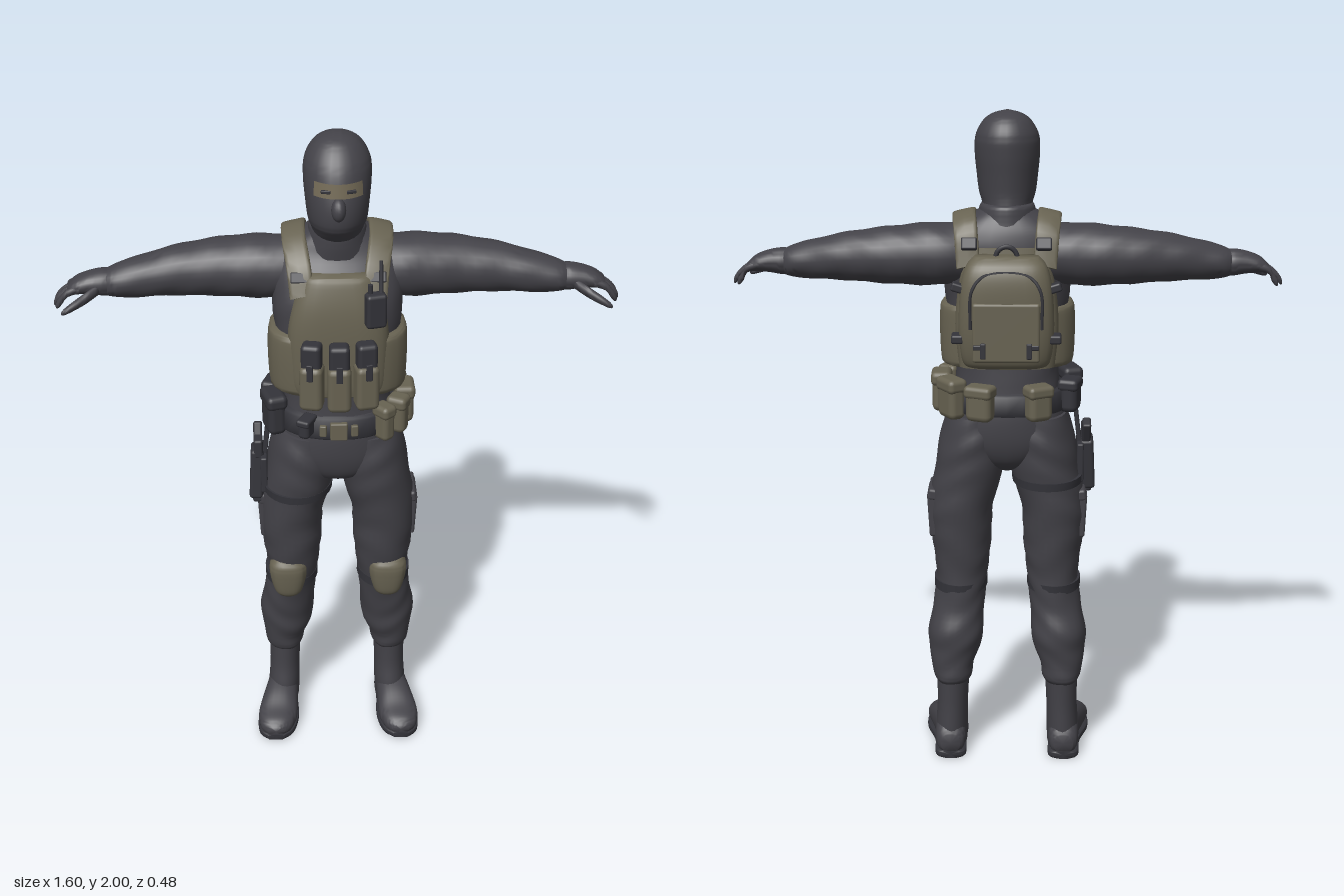
import * as THREE from 'three';
import { mergeVertices, toCreasedNormals } from 'three/addons/utils/BufferGeometryUtils.js';
import { RoundedBoxGeometry } from 'three/addons/geometries/RoundedBoxGeometry.js';

const V = (x, y, z) => new THREE.Vector3(x, y, z);
const AXES = { // ring directions u, v for each loft direction
  x: [V(0, 0, 1), V(0, 1, 0)], y: [V(1, 0, 0), V(0, 0, 1)], z: [V(0, 1, 0), V(1, 0, 0)],
};

// Skin a list of rings {c, u, v} with superellipse outlines and closed ends
function skin(rings, { n = 28, p = 2, fold = 0, freq = 55 } = {}) {
  const pos = [], idx = [], pw = (a) => Math.sign(a) * Math.abs(a) ** (2 / p);
  rings.forEach(({ c, u, v }) => {
    for (let j = 0; j < n; j++) {
      const t = (j / n) * Math.PI * 2;
      const k = 1 + fold * Math.sin((c.x + c.y) * freq + 2.5 * Math.sin(t * 2 + c.y * 9));
      const q = c.clone().addScaledVector(u, pw(Math.cos(t)) * k).addScaledVector(v, pw(Math.sin(t)) * k);
      pos.push(q.x, q.y, q.z);
    }
  });
  const last = rings.length - 1;
  for (let i = 0; i < last; i++) for (let j = 0; j < n; j++) {
    const a = i * n + j, b = i * n + (j + 1) % n;
    idx.push(a, a + n, b, b, a + n, b + n);
  }
  const e = pos.length / 3;
  pos.push(...rings[0].c.toArray(), ...rings[last].c.toArray());
  for (let j = 0; j < n; j++) {
    const k = (j + 1) % n;
    idx.push(e, j, k, e + 1, last * n + k, last * n + j);
  }
  const g = new THREE.BufferGeometry();
  g.setAttribute('position', new THREE.Float32BufferAttribute(pos, 3));
  g.setIndex(idx);
  return toCreasedNormals(g, 1);
}

// Smooth loft through sections [x, y, z, ru, rv]
function loft(axis, secs, opt = {}) {
  const [U, W] = AXES[axis], steps = opt.steps || 5, rings = [];
  const at = (i) => secs[Math.min(Math.max(i, 0), secs.length - 1)];
  for (let s = 0; s <= (secs.length - 1) * steps; s++) {
    const i = Math.floor(s / steps), f = s / steps - i;
    const m = at(i).map((b, k) => {
      const a = at(i - 1)[k], c = at(i + 1)[k], d = at(i + 2)[k];
      return b + 0.5 * f * (c - a + f * (2 * a - 5 * b + 4 * c - d + f * (3 * (b - c) + d - a)));
    });
    rings.push({ c: V(m[0], m[1], m[2]), u: U.clone().multiplyScalar(Math.max(m[3], 0.001)), v: W.clone().multiplyScalar(Math.max(m[4], 0.001)) });
  }
  return skin(rings, opt);
}
// Vertical loft from [y, cz, rx, rz] with a fixed x
const body = (rows, opt, x = 0) => loft('y', rows.map(([y, z, a, b]) => [x, y, z, a, b]), opt);

// Flat webbing swept along a path
function ribbon(pts, side, w, t) {
  const curve = new THREE.CatmullRomCurve3(pts.map((q) => V(...q))), rings = [];
  for (let i = 0; i <= 24; i++) {
    const d = curve.getTangent(i / 24), v = side.clone().cross(d).normalize();
    rings.push({ c: curve.getPoint(i / 24), u: side.clone().multiplyScalar(w / 2), v: v.multiplyScalar(t / 2) });
  }
  return skin(rings, { n: 16, p: 5 });
}
const box = (w, h, d, x, y, z, ry = 0, rx = 0, rz = 0, r = 0.25) =>
  new RoundedBoxGeometry(w, h, d, 2, Math.min(w, h, d) * r).rotateX(rx).rotateZ(rz).rotateY(ry).translate(x, y, z);

function flipX(geo) {
  const g = mergeVertices(geo.clone()).scale(-1, 1, 1), a = g.index.array;
  for (let i = 0; i < a.length; i += 3) [a[i], a[i + 1]] = [a[i + 1], a[i]];
  return g;
}

export function createModel() {
  const root = new THREE.Group();
  root.name = 'soldier';
  const mat = (name, color, side = THREE.FrontSide) => Object.assign(new THREE.MeshStandardMaterial({ color, side }), { name });
  const cloth = mat('darkCloth', 0x434248), olive = mat('oliveGear', 0x686352), black = mat('blackGear', 0x34343a);
  const skinTone = mat('eyeOpening', 0x756c58, THREE.DoubleSide);
  const add = (name, m, geo) => {
    const mesh = new THREE.Mesh(geo, m);
    mesh.name = name;
    root.add(mesh);
  };
  const pair = (name, m, geo) => {
    add('left' + name, m, geo);
    add('right' + name, m, flipX(geo));
  };

  // Head, mask and collar
  add('head', cloth, body([[1.64, -0.02, 0.075, 0.085], [1.7, -0.012, 0.068, 0.085], [1.74, 0.008, 0.073, 0.1], [1.77, 0.02, 0.082, 0.11],
    [1.82, 0.02, 0.088, 0.114], [1.88, 0.01, 0.093, 0.11], [1.93, 0, 0.09, 0.1], [1.97, -0.005, 0.069, 0.074], [1.99, -0.005, 0.042, 0.045], [2, -0.005, 0.006, 0.006]]));
  add('nose', cloth, new THREE.SphereGeometry(1, 16, 12).scale(0.02, 0.032, 0.024).rotateX(-0.3).translate(0, 1.83, 0.132));
  add('eyeOpening', skinTone, new THREE.CylinderGeometry(0.094, 0.097, 0.04, 20, 1, true, -0.75, 1.5).scale(1, 1, 1.23).translate(0, 1.88, 0.013));
  pair('Eye', black, box(0.026, 0.009, 0.008, 0.034, 1.878, 0.124, 0.25));
  add('collar', cloth, body([[1.66, -0.02, 0.1, 0.1], [1.7, -0.014, 0.086, 0.1], [1.735, -0.012, 0.078, 0.098], [1.742, -0.01, 0.066, 0.088]]));

  // Torso and hips
  add('torso', cloth, body([[1.16, 0.01, 0.16, 0.135], [1.27, 0.01, 0.152, 0.125], [1.4, 0.015, 0.175, 0.13], [1.52, 0.01, 0.185, 0.135],
    [1.6, -0.01, 0.185, 0.125], [1.66, -0.025, 0.17, 0.1], [1.7, -0.025, 0.12, 0.085], [1.73, -0.02, 0.07, 0.07]], { p: 2.3, fold: 0.006 }));
  add('hips', cloth, body([[0.945, 0, 0.03, 0.06], [0.98, 0.01, 0.12, 0.115], [1.04, 0.01, 0.18, 0.14], [1.12, 0.01, 0.175, 0.145], [1.2, 0.01, 0.16, 0.135]], { p: 2.2 }));

  // Arms and gloves
  pair('Arm', cloth, loft('x', [[0.1, 1.6, -0.03, 0.085, 0.08], [0.2, 1.597, -0.035, 0.094, 0.09], [0.33, 1.594, -0.04, 0.086, 0.083], [0.46, 1.588, -0.03, 0.073, 0.07],
    [0.56, 1.577, -0.015, 0.063, 0.057], [0.62, 1.57, -0.008, 0.053, 0.047], [0.645, 1.567, -0.005, 0.042, 0.039]], { fold: 0.018, freq: 60 }));
  pair('Glove', cloth, loft('x', [[0.62, 1.567, -0.005, 0.036, 0.034], [0.65, 1.568, -0.004, 0.044, 0.039], [0.69, 1.568, -0.002, 0.043, 0.033],
    [0.73, 1.562, 0, 0.042, 0.024], [0.755, 1.55, 0, 0.034, 0.015]]));
  for (let i = 0; i < 4; i++) {
    const z = -0.031 + i * 0.021, e = i === 0 ? -0.015 : i === 3 ? -0.008 : 0;
    pair('Finger' + (i + 1), cloth, loft('x', [[0.72, 1.562, z, 0.011, 0.012], [0.755, 1.55, z, 0.011, 0.012], [0.78 + e, 1.53, z, 0.01, 0.014],
      [0.793 + e, 1.515, z, 0.007, 0.012], [0.798 + e, 1.51, z, 0.002, 0.004]], { n: 10, steps: 3 }));
  }
  pair('Thumb', cloth, loft('x', [[0.665, 1.56, 0.025, 0.016, 0.016], [0.7, 1.545, 0.055, 0.016, 0.016], [0.735, 1.53, 0.076, 0.014, 0.013],
    [0.76, 1.518, 0.087, 0.008, 0.009], [0.768, 1.514, 0.089, 0.002, 0.002]], { n: 12, steps: 3 }));

  // Trousers
  pair('Trouser', cloth, loft('y', [[0.17, 0.25, -0.04, 0.05, 0.065], [0.17, 0.27, -0.04, 0.061, 0.077], [0.17, 0.31, -0.036, 0.067, 0.08], [0.163, 0.36, -0.03, 0.079, 0.088],
    [0.16, 0.42, -0.03, 0.085, 0.094], [0.15, 0.5, -0.012, 0.079, 0.093], [0.14, 0.6, 0, 0.079, 0.1], [0.14, 0.7, 0.005, 0.09, 0.114], [0.14, 0.82, 0.005, 0.097, 0.124],
    [0.113, 0.95, 0.01, 0.105, 0.136], [0.1, 1.05, 0.01, 0.1, 0.14], [0.09, 1.12, 0.01, 0.09, 0.13]], { fold: 0.016, freq: 62, p: 2.1 }));
  pair('CargoPocket', cloth, box(0.03, 0.14, 0.12, 0.224, 0.8, 0, 0, 0, -0.05));
  pair('PocketFlap', cloth, box(0.034, 0.035, 0.125, 0.222, 0.865, 0, 0, 0, 0.12));

  // Boots
  pair('BootShaft', cloth, loft('y', [[0.178, 0.03, -0.035, 0.05, 0.072], [0.175, 0.1, -0.03, 0.05, 0.077], [0.172, 0.18, -0.037, 0.048, 0.069], [0.17, 0.28, -0.04, 0.052, 0.07]]));
  pair('BootFoot', cloth, loft('z', [[0.178, 0.05, -0.112, 0.03, 0.03], [0.178, 0.058, -0.09, 0.05, 0.046], [0.18, 0.068, -0.02, 0.06, 0.05], [0.19, 0.06, 0.05, 0.052, 0.058],
    [0.198, 0.045, 0.11, 0.038, 0.063], [0.202, 0.038, 0.155, 0.03, 0.05], [0.203, 0.034, 0.178, 0.018, 0.025]], { p: 2.4 }));
  pair('BootSole', black, loft('z', [[0.178, 0.012, -0.115, 0.012, 0.025], [0.178, 0.012, -0.095, 0.012, 0.048], [0.182, 0.012, -0.01, 0.012, 0.05], [0.195, 0.012, 0.08, 0.012, 0.066],
    [0.202, 0.012, 0.15, 0.012, 0.055], [0.204, 0.014, 0.182, 0.01, 0.025]], { p: 5 }));

  // Knee pads and their straps
  pair('KneePad', olive, body([[0.525, 0.068, 0.025, 0.03], [0.545, 0.072, 0.043, 0.042], [0.6, 0.075, 0.056, 0.047], [0.64, 0.077, 0.057, 0.045], [0.662, 0.076, 0.044, 0.035]], { p: 2.6 }, 0.154));
  pair('KneeStrap', black, body([[0.555, 0, 0.082, 0.101], [0.585, 0, 0.082, 0.103]], { steps: 1 }, 0.144));

  // Plate carrier
  add('cummerbund', olive, body([[1.27, 0.025, 0.19, 0.128], [1.285, 0.025, 0.197, 0.133], [1.37, 0.026, 0.2, 0.136], [1.435, 0.025, 0.197, 0.136], [1.45, 0.024, 0.188, 0.13]], { p: 2.6 }));
  add('chestPlate', olive, body([[1.275, 0.1, 0.13, 0.06], [1.32, 0.1, 0.14, 0.066], [1.45, 0.1, 0.142, 0.069], [1.54, 0.096, 0.128, 0.066], [1.615, 0.085, 0.102, 0.058], [1.63, 0.08, 0.092, 0.05]], { p: 3 }));
  add('backPlate', olive, body([[1.275, -0.07, 0.14, 0.055], [1.4, -0.075, 0.15, 0.062], [1.54, -0.08, 0.135, 0.064], [1.63, -0.085, 0.11, 0.05]], { p: 3 }));
  pair('ShoulderStrap', olive, ribbon([[0.1, 1.575, 0.13], [0.108, 1.645, 0.095], [0.12, 1.7, 0.025], [0.122, 1.712, -0.05], [0.116, 1.68, -0.115], [0.108, 1.58, -0.145]],
    V(0.97, -0.22, 0).normalize(), 0.068, 0.022));
  pair('StrapBuckle', black, box(0.05, 0.03, 0.016, 0.106, 1.625, 0.112, 0, -0.5));

  // Magazine pouches fanned across the front
  for (const i of [-1, 0, 1]) {
    const x = i * 0.076, z = 0.198 - Math.abs(i) * 0.012, a = i * 0.2;
    add('magazinePouch', olive, box(0.066, 0.135, 0.064, x, 1.328, z, a));
    add('magazine', black, box(0.057, 0.09, 0.05, x, 1.415, z - 0.004, a));
    add('pouchTab', black, box(0.018, 0.05, 0.007, x + Math.sin(a) * 0.033, 1.385, z + 0.033, a));
  }

  // Radio
  add('radio', black, box(0.058, 0.1, 0.04, 0.1, 1.55, 0.162, 0.25));
  add('radioKnob', black, new THREE.CylinderGeometry(0.007, 0.007, 0.03, 12).translate(0.085, 1.61, 0.16));
  add('antenna', black, new THREE.CylinderGeometry(0.005, 0.007, 0.1, 12).rotateX(-0.2).translate(0.115, 1.635, 0.145));

  // Backpack
  add('backpack', olive, body([[1.295, -0.16, 0.1, 0.035], [1.315, -0.167, 0.125, 0.052], [1.4, -0.175, 0.135, 0.062], [1.52, -0.178, 0.13, 0.062], [1.585, -0.173, 0.115, 0.055], [1.615, -0.165, 0.09, 0.035]], { p: 3.4 }));
  add('backpackPocket', olive, box(0.19, 0.17, 0.035, 0, 1.41, -0.226));
  add('zipper', black, new THREE.TubeGeometry(new THREE.CatmullRomCurve3([V(-0.1, 1.42, -0.233), V(-0.095, 1.53, -0.236), V(-0.06, 1.57, -0.228),
    V(0.06, 1.57, -0.228), V(0.095, 1.53, -0.236), V(0.1, 1.42, -0.233)]), 40, 0.005, 6));
  add('backpackHandle', black, new THREE.TorusGeometry(0.03, 0.007, 8, 16, Math.PI).translate(0, 1.61, -0.165));
  pair('UpperBuckle', black, box(0.04, 0.025, 0.035, 0.135, 1.53, -0.19, 0, 0, 0.3));
  pair('LowerBuckle', black, box(0.035, 0.025, 0.05, 0.138, 1.385, -0.19));
  pair('BackWebbing', black, box(0.035, 0.014, 0.012, 0.075, 1.37, -0.242));
  pair('BackClip', black, box(0.016, 0.045, 0.014, 0.065, 1.36, -0.243));
  pair('StrapClip', black, box(0.045, 0.035, 0.022, 0.105, 1.645, -0.148, 0, 0.4));

  // Belt with pouches placed around it
  add('belt', black, body([[1.135, 0.01, 0.181, 0.152], [1.14, 0.01, 0.184, 0.155], [1.195, 0.01, 0.18, 0.152], [1.2, 0.01, 0.176, 0.148]], { steps: 1, p: 2.2 }));
  add('beltBuckle', olive, box(0.05, 0.055, 0.018, 0, 1.167, 0.166));
  pair('BuckleTab', olive, box(0.02, 0.035, 0.014, 0.045, 1.167, 0.163, 0.15));
  const pouches = [[42, 0.045, 0.11, 1], [63, 0.05, 0.115, 1], [91, 0.082, 0.12, 1], [124, 0.085, 0.12, 1], [157, 0.08, 0.105, 1],
    [-152, 0.075, 0.105, 1], [-108, 0.07, 0.1, 0], [-72, 0.09, 0.125, 0], [-28, 0.035, 0.06, 0]];
  for (const [deg, w, h, isOlive] of pouches) {
    const a = deg * Math.PI / 180, x = 0.196 * Math.sin(a), z = 0.01 + 0.165 * Math.cos(a), m = isOlive ? olive : black;
    add('beltPouch', m, box(w, h, 0.055, x, 1.178, z, a, 0, 0, 0.35));
    add('pouchFlap', m, box(w + 0.006, h * 0.36, 0.062, x, 1.178 + h * 0.34, z, a, 0, 0, 0.35));
  }

  // Thigh holster with sidearm
  add('holster', black, box(0.04, 0.16, 0.075, -0.243, 0.95, 0.025, 0, -0.1, -0.05));
  add('holsterTip', black, box(0.034, 0.07, 0.05, -0.24, 0.89, 0.035, 0, -0.1));
  add('holsterPlate', black, box(0.02, 0.12, 0.11, -0.22, 0.96, 0.02));
  add('sidearmGrip', black, box(0.026, 0.1, 0.04, -0.238, 1.045, -0.005, 0, -0.45));
  add('sidearmSlide', black, box(0.026, 0.06, 0.045, -0.236, 1.04, 0.035));
  add('holsterHanger', black, box(0.014, 0.13, 0.045, -0.21, 1.08, 0.02, 0, 0, -0.12));
  add('thighStrap', black, body([[0.9, 0.009, 0.107, 0.136], [0.925, 0.009, 0.109, 0.138]], { steps: 1, p: 2.1 }, -0.122));

  return root;
}
